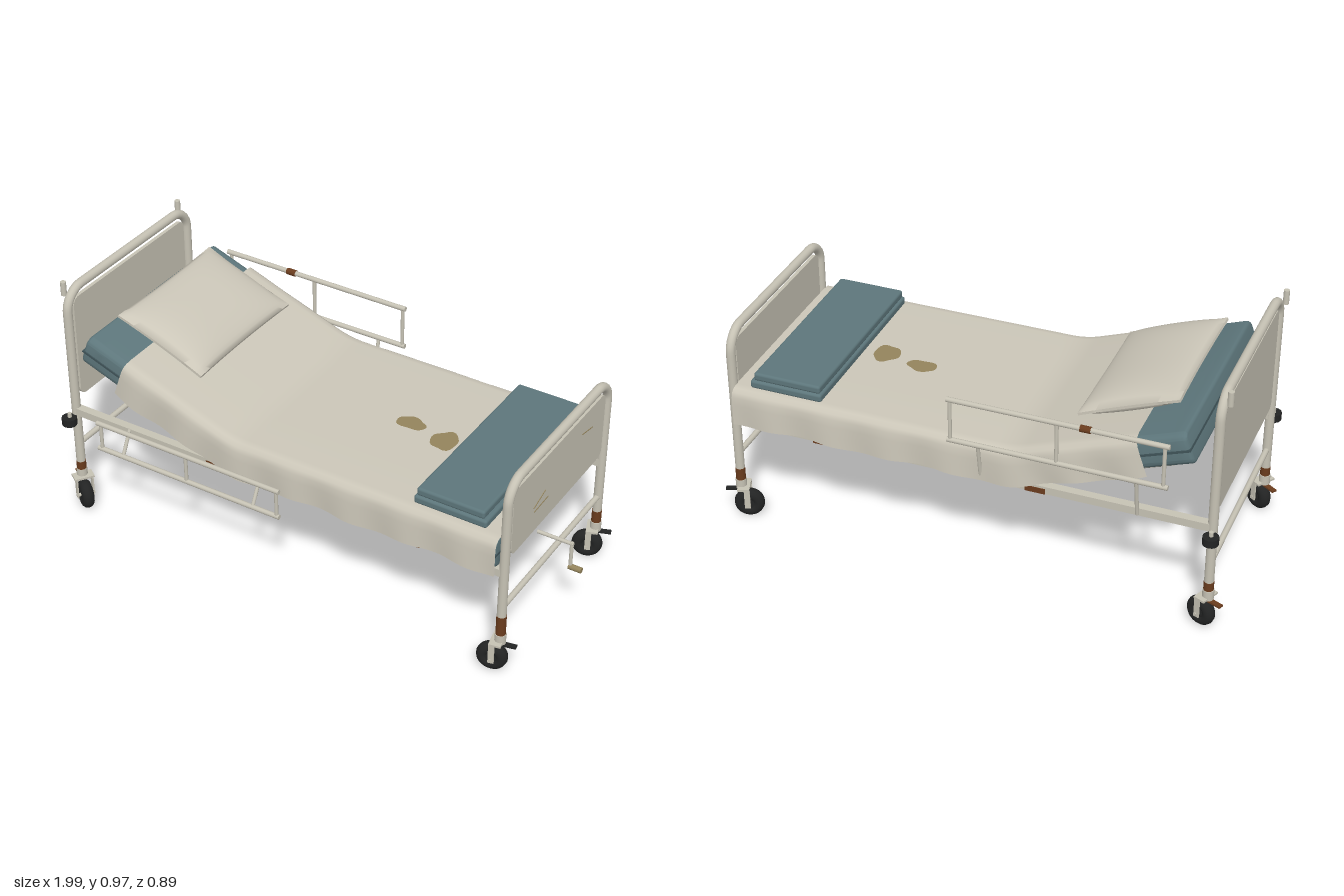
import * as THREE from 'three';
import { toCreasedNormals, mergeVertices } from 'three/addons/utils/BufferGeometryUtils.js';
import { RoundedBoxGeometry } from 'three/addons/geometries/RoundedBoxGeometry.js';

const mat = (name, color, side = THREE.FrontSide) => {
  const m = new THREE.MeshStandardMaterial({ color, side });
  m.name = name;
  return m;
};
const V = (x, y, z) => new THREE.Vector3(x, y, z);

// Bends flat geometry (x along the bed, y above the mattress base) up into the raised backrest
const BASE = 0.455, START = -0.15, ARC = 0.16, ANGLE = 0.349, RADIUS = ARC / ANGLE;
function bendPoint(p) {
  const t = START - p.x, h = p.y;
  if (t <= 0) return p.set(p.x, BASE + h, p.z);
  const a = Math.min(t / ARC, 1) * ANGLE, rest = Math.max(t - ARC, 0);
  return p.set(
    START - RADIUS * Math.sin(a) - rest * Math.cos(a) + h * Math.sin(a),
    BASE + RADIUS * (1 - Math.cos(a)) + rest * Math.sin(a) + h * Math.cos(a), p.z);
}
function moveVertices(geo, rule) {
  const pos = geo.attributes.position, p = V(0, 0, 0);
  for (let i = 0; i < pos.count; i++) {
    p.fromBufferAttribute(pos, i);
    rule(p, i);
    pos.setXYZ(i, p.x, p.y, p.z);
  }
  return geo;
}
const bend = (geo) => toCreasedNormals(moveVertices(geo, bendPoint), 0.6);

function roundedRect(w, h, r) {
  const s = new THREE.Shape(), x = w / 2, y = h / 2;
  s.absarc(x - r, y - r, r, 0, Math.PI / 2);
  s.absarc(-x + r, y - r, r, Math.PI / 2, Math.PI);
  s.absarc(-x + r, -y + r, r, Math.PI, Math.PI * 1.5);
  s.absarc(x - r, -y + r, r, Math.PI * 1.5, Math.PI * 2);
  return s;
}

export function createModel() {
  const model = new THREE.Group();
  model.name = 'hospitalBed';
  const paint = mat('cream paint', 0xc6c2b4);
  const linen = mat('linen', 0xcbc6b8, THREE.DoubleSide);
  const teal = mat('teal cloth', 0x5d767b);
  const seam = mat('dark teal seam', 0x3f5358);
  const stain = mat('tan stain', 0x94845c, THREE.DoubleSide);
  const rust = mat('rust', 0x6a3c1e);
  const rubber = mat('black rubber', 0x232424);

  const add = (name, geo, material, parent = model, x = 0, y = 0, z = 0) => {
    const m = new THREE.Mesh(geo, material);
    m.name = name;
    m.position.set(x, y, z);
    parent.add(m);
    return m;
  };
  const box = (name, w, h, d, material, x, y, z, parent) =>
    add(name, new THREE.BoxGeometry(w, h, d), material, parent, x, y, z);
  const rod = (name, a, b, r, material = paint, parent = model) => {
    const dir = b.clone().sub(a);
    const m = add(name, new THREE.CylinderGeometry(r, r, dir.length(), 14), material, parent);
    m.position.copy(a).add(b).multiplyScalar(0.5);
    m.quaternion.setFromUnitVectors(V(0, 1, 0), dir.normalize());
    return m;
  };

  // Head and foot frames: bent tube, panel, cross bar
  function endFrame(name, x, top, panelTop) {
    const z = 0.371, r = 0.08, path = new THREE.CurvePath();
    path.add(new THREE.LineCurve3(V(x, 0.15, z), V(x, top - r, z)));
    path.add(new THREE.CubicBezierCurve3(V(x, top - r, z), V(x, top - r * 0.45, z), V(x, top, z - r * 0.55), V(x, top, z - r)));
    path.add(new THREE.LineCurve3(V(x, top, z - r), V(x, top, r - z)));
    path.add(new THREE.CubicBezierCurve3(V(x, top, r - z), V(x, top, r * 0.55 - z), V(x, top - r * 0.45, -z), V(x, top - r, -z)));
    path.add(new THREE.LineCurve3(V(x, top - r, -z), V(x, 0.15, -z)));
    add(name + 'Tube', new THREE.TubeGeometry(path, 110, 0.0175, 14), paint);
    const h = panelTop - 0.485;
    const panel = new THREE.ExtrudeGeometry(roundedRect(0.684, h, 0.03), { depth: 0.014, bevelEnabled: false });
    panel.translate(0, 0, -0.007).rotateY(Math.PI / 2);
    add(name + 'Panel', panel, paint, model, x, 0.485 + h / 2, 0);
    rod(name + 'CrossBar', V(x, 0.28, -z), V(x, 0.28, z), 0.011);
  }
  endFrame('head', -0.935, 0.945, 0.905);
  endFrame('foot', 0.88, 0.796, 0.757);

  // Swivelling casters with rusted post ends
  function caster(x, z, yaw, rustTop, leverMat) {
    rod('rustedPostEnd', V(x, 0.165, z), V(x, rustTop, z), 0.0185, rust);
    rod('casterSocket', V(x, 0.125, z), V(x, 0.165, z), 0.021);
    const g = new THREE.Group();
    g.name = 'caster';
    g.position.set(x, 0, z);
    g.rotation.y = yaw;
    model.add(g);
    box('forkTop', 0.045, 0.008, 0.078, paint, 0.01, 0.132, 0, g);
    for (const s of [-1, 1]) box('forkSide', 0.022, 0.085, 0.006, paint, 0.022, 0.09, s * 0.031, g);
    const tyre = new THREE.TorusGeometry(0.034, 0.0235, 12, 28);
    add('tyre', tyre, rubber, g, 0.026, 0.0578, 0);
    rod('hub', V(0.026, 0.0578, -0.02), V(0.026, 0.0578, 0.02), 0.02, rubber, g);
    rod('axle', V(0.026, 0.0578, -0.036), V(0.026, 0.0578, 0.036), 0.007, paint, g);
    box('brakeLever', 0.055, 0.007, 0.02, leverMat, -0.032, 0.118, 0, g);
  }
  caster(-0.935, 0.371, -0.6, 0.2, rust);
  caster(-0.935, -0.371, -0.4, 0.2, rust);
  caster(0.88, 0.371, Math.PI + 0.2, 0.245, rubber);
  caster(0.88, -0.371, Math.PI + 0.35, 0.215, rubber);

  // Side frame, corner bumpers, pole sockets and backrest frame, mirrored
  for (const s of [-1, 1]) {
    box('sideBeam', 1.81, 0.03, 0.032, paint, -0.027, 0.435, s * 0.37);
    for (const [x, w] of [[-0.295, 0.075], [0.39, 0.05], [0.53, 0.06]])
      box('rustPatch', w, 0.022, 0.036, rust, x, x > 0.5 ? 0.425 : 0.43, s * 0.37);
    rod('bumper', V(-0.94, 0.39, s * 0.41), V(-0.94, 0.42, s * 0.41), 0.029, rubber);
    rod('bumperPin', V(-0.94, 0.373, s * 0.407), V(-0.94, 0.437, s * 0.407), 0.008);
    rod('bumperArm', V(-0.935, 0.405, s * 0.36), V(-0.94, 0.405, s * 0.41), 0.01);
    rod('poleSocket', V(-0.96, 0.92, s * 0.353), V(-0.96, 0.975, s * 0.353), 0.011);
    rod('backrestFrame', V(-0.24, 0.428, s * 0.325), V(-0.775, 0.627, s * 0.325), 0.009);
  }
  for (let i = 0; i < 14; i++) {
    const slat = new THREE.BoxGeometry(0.026, 0.012, 0.72);
    slat.translate(0.8 - i * 0.122, 0, 0);
    add('slat', bend(slat), paint);
  }

  // Mattress with a seam round its middle
  const block = new THREE.ExtrudeGeometry(roundedRect(0.786, 0.101, 0.02),
    { depth: 1.744, steps: 60, bevelSize: 0.012, bevelThickness: 0.012, bevelSegments: 3 });
  block.rotateY(Math.PI / 2).translate(-0.896, 0.0625, 0);
  add('mattress', bend(block), teal);
  const band = new THREE.BoxGeometry(1.772, 0.008, 0.818, 60, 1, 1);
  band.translate(-0.024, 0.062, 0);
  add('mattressSeam', bend(band), seam);

  // Sheet draped over the mattress, with a wavy hem
  const half = [[0.421, -0.012], [0.42, 0.03], [0.419, 0.07], [0.417, 0.1], [0.41, 0.119], [0.395, 0.129], [0.37, 0.133], [0.2, 0.134]];
  const section = [...half, [0, 0.134], ...half.map(([z, h]) => [-z, h]).reverse()];
  const cols = section.length - 1;
  const sheet = new THREE.PlaneGeometry(1, 1, 90, cols);
  moveVertices(sheet, (p, i) => {
    const [z, h] = section[Math.floor(i / 91)];
    const x = -0.733 + (p.x + 0.5) * 1.598;
    const drop = Math.max(0, 1 - h / 0.13);
    const wave = Math.sin(x * 27 + (z > 0 ? 0 : 1.3)) * 0.006 * drop;
    bendPoint(p.set(x, h + Math.sin(x * 13) * 0.004 * drop, z + Math.sign(z) * wave));
  });
  sheet.computeVertexNormals();
  add('sheet', sheet, linen);

  // Stains on the sheet
  for (const [x, z, rx, rz] of [[0.285, -0.022, 0.058, 0.036], [0.44, 0.01, 0.05, 0.056]]) {
    const pts = [];
    for (let i = 0; i < 28; i++) {
      const a = i / 28 * Math.PI * 2, k = 1 + 0.08 * Math.sin(a * 3 + x * 9) + 0.05 * Math.sin(a * 5);
      pts.push(new THREE.Vector2(Math.cos(a) * rx * k, Math.sin(a) * rz * k));
    }
    add('stain', new THREE.ShapeGeometry(new THREE.Shape(pts)).rotateX(-Math.PI / 2), stain, model, x, 0.5915, z);
  }

  // Pillow: a box puffed out towards the middle
  const puff = moveVertices(new THREE.BoxGeometry(2, 2, 2, 28, 1, 28), (p) => {
    const { x: u, z: v } = p;
    const h = 0.005 + 0.043 * Math.pow((1 - u * u) * (1 - v ** 4), 0.55);
    p.set(u * (0.193 - 0.006 * (1 - v * v)), Math.sign(p.y) * h, v * (0.288 - 0.006 * (1 - u * u)));
  });
  puff.deleteAttribute('uv');
  puff.deleteAttribute('normal');
  const pillow = add('pillow', toCreasedNormals(mergeVertices(puff), 0.9), linen, model, -0.593, 0.785, -0.003);
  pillow.rotation.z = -0.37;

  // Folded blanket at the foot end
  add('foldedBlanketLower', new RoundedBoxGeometry(0.282, 0.032, 0.756, 3, 0.01), teal, model, 0.665, 0.604, -0.003);
  add('foldedBlanketUpper', new RoundedBoxGeometry(0.262, 0.032, 0.742, 3, 0.01), teal, model, 0.662, 0.634, -0.003);

  // Side rails: lowered on the front side, raised on the back
  function sideRail(z, low, high, hingeZ, hingeY) {
    for (const y of [low, high]) rod('railBar', V(-0.787, y, z), V(0.015, y, z), 0.0095);
    for (const x of [-0.77, -0.388, 0.003]) rod('railUpright', V(x, low, z), V(x, high, z), 0.007);
    for (const x of [-0.675, -0.1]) rod('railStrut', V(x, low, z), V(x, hingeY, hingeZ), 0.007);
  }
  sideRail(0.435, 0.355, 0.466, 0.385, 0.45);
  sideRail(-0.434, 0.597, 0.762, -0.405, 0.44);
  rod('rustedClip', V(-0.51, 0.762, -0.434), V(-0.472, 0.762, -0.434), 0.0125, rust);

  // Crank at the foot end
  rod('crankShaft', V(0.82, 0.337, 0), V(0.962, 0.337, 0), 0.007);
  rod('crankArm', V(0.955, 0.343, 0), V(0.955, 0.232, 0), 0.007);
  rod('crankGrip', V(0.95, 0.235, 0), V(1.0, 0.235, 0), 0.011, stain);

  // Scratches on the foot panel
  for (const [z, y, len, tilt] of [[0.147, 0.602, 0.09, -0.3], [0.132, 0.572, 0.103, -0.03], [-0.205, 0.674, 0.084, 0.19]])
    box('scratch', 0.002, 0.003, len, stain, 0.888, y, z).rotation.x = -tilt;

  return model;
}
